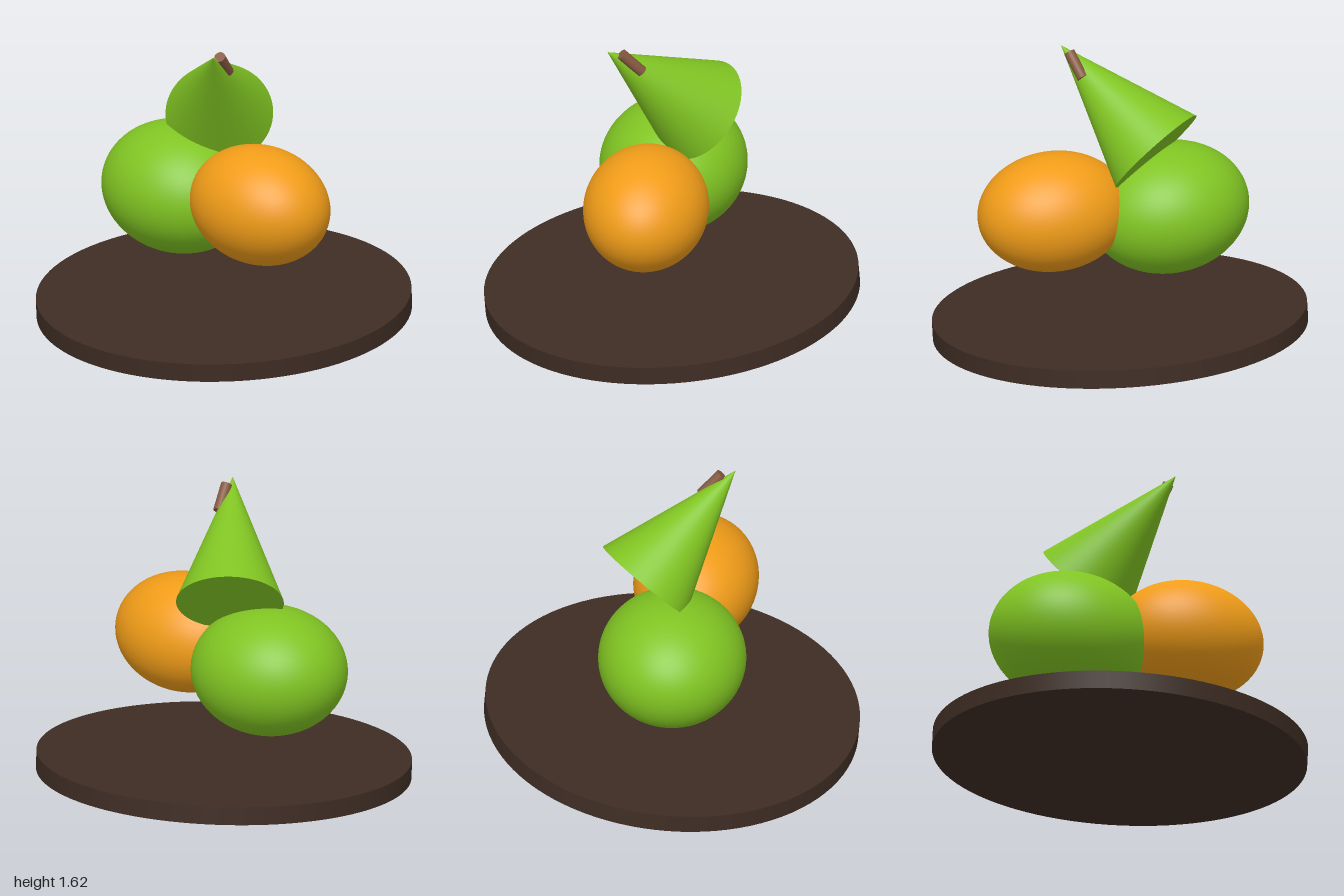
import * as THREE from 'three';

const paint = (color) => new THREE.MeshStandardMaterial({ color });
const GREEN = paint(0x80c422), ORANGE = paint(0xf09c18);
const WOOD = paint(0x3e2d24), STEM = paint(0x85593f);

// Tilted ellipsoid: half extents [x, y, z] and the skew xy, xz, yz that leans it
function fruit(name, material, center, [ex, ey, ez], [xy, xz, yz]) {
  const a = ex, b = xy / a, d = xz / a;
  const c = Math.sqrt(ey * ey - b * b);
  const e = (yz - d * b) / c;
  const f = Math.sqrt(ez * ez - d * d - e * e);
  const geometry = new THREE.SphereGeometry(1, 64, 40);
  geometry.applyMatrix4(new THREE.Matrix4().set(
    a, 0, 0, 0,
    b, c, 0, 0,
    d, e, f, 0,
    0, 0, 0, 1));
  const mesh = new THREE.Mesh(geometry, material);
  mesh.name = name;
  mesh.position.set(...center);
  return mesh;
}

// Cone or cylinder spanning two points
function between(name, material, from, to, rBottom, rTop, segments) {
  const p = new THREE.Vector3(...from), q = new THREE.Vector3(...to);
  const mesh = new THREE.Mesh(
    new THREE.CylinderGeometry(rTop, rBottom, p.distanceTo(q), segments), material);
  mesh.name = name;
  mesh.position.copy(p).add(q).multiplyScalar(0.5);
  mesh.quaternion.setFromUnitVectors(new THREE.Vector3(0, 1, 0), q.sub(p).normalize());
  return mesh;
}

export function createModel() {
  const model = new THREE.Group();
  model.name = 'fruitPlate';

  // Round board, raised at the back
  const plate = new THREE.Mesh(new THREE.CylinderGeometry(1, 1, 0.1, 96), WOOD);
  plate.name = 'plate';
  plate.position.y = 0.133;
  plate.rotation.x = 0.08;
  model.add(plate);

  // Pear: body, pointed neck and stem
  const pear = new THREE.Group();
  pear.name = 'pear';
  pear.add(
    fruit('pearBody', GREEN, [-0.283, 0.725, -0.068], [0.432, 0.35, 0.4], [-0.005, 0.012, -0.004]),
    between('pearNeck', GREEN, [-0.1, 1.122, -0.176], [0.09, 1.62, 0.37], 0.287, 0, 64),
    between('pearStem', STEM, [0.1, 1.49, 0.185], [0.097, 1.603, 0.295], 0.03, 0.03, 24));
  model.add(pear);

  // Orange, leaning against the pear
  model.add(fruit('orange', ORANGE, [0.292, 0.772, 0.203], [0.403, 0.318, 0.346], [-0.003, 0.022, 0]));

  return model;
}
